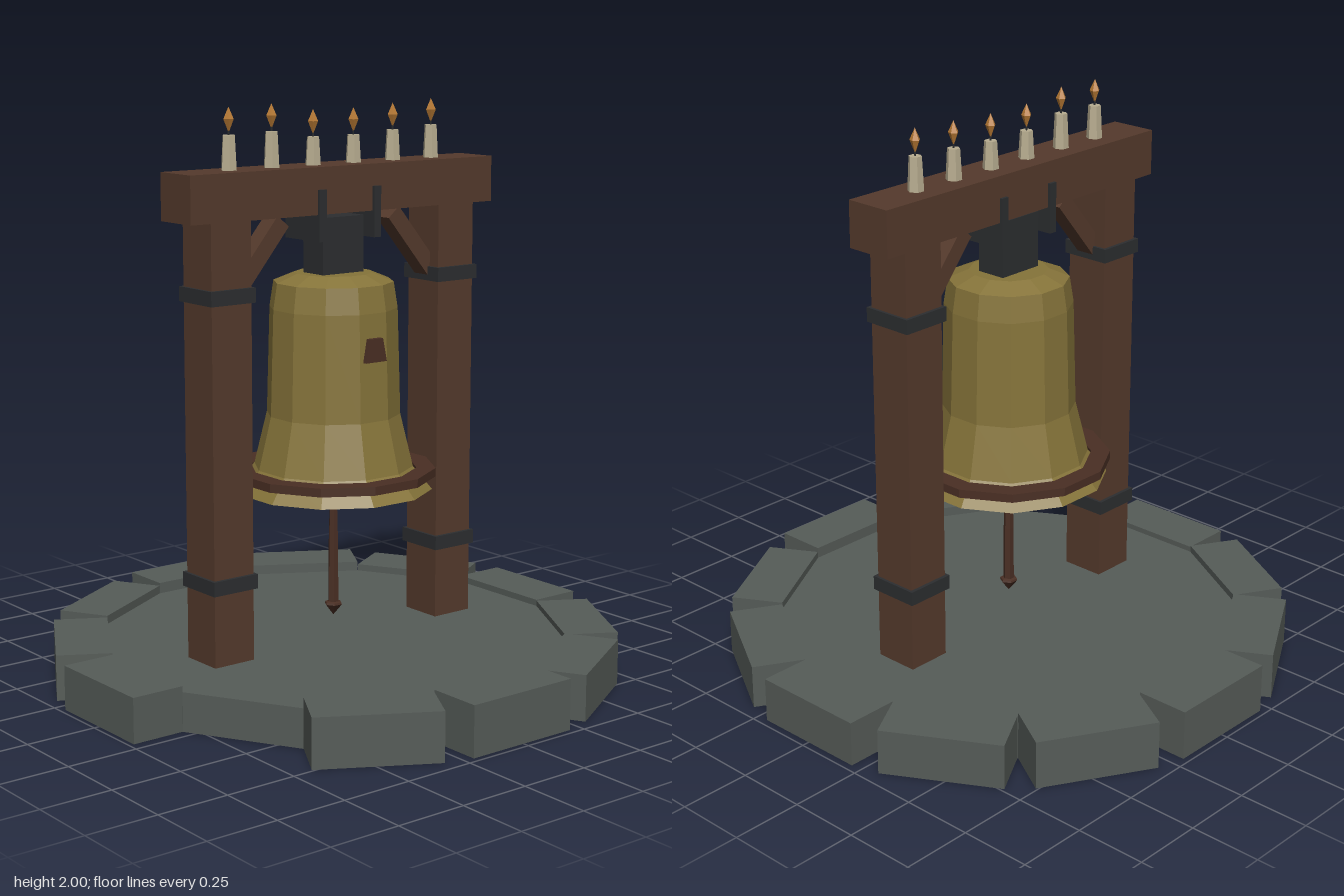
import * as THREE from 'three';

const mat = (name, color, extra = {}) => {
  const m = new THREE.MeshStandardMaterial({ color, ...extra });
  m.name = name;
  return m;
};

export function createModel() {
  const wood = mat('oak timber', 0x553a2c);
  const darkWood = mat('dark wood', 0x4a2f24);
  const iron = mat('black iron', 0x2c2e30);
  const bronze = mat('aged bronze', 0x86743a, { side: THREE.DoubleSide });
  const stone = mat('grey stone', 0x565c58, { side: THREE.DoubleSide });
  const wax = mat('candle wax', 0xb8ad90);
  const fire = mat('flame orange', 0xb87a34);

  const model = new THREE.Group();
  model.name = 'bellFrame';

  const add = (name, geometry, material, x = 0, y = 0, z = 0, parent = model) => {
    const mesh = new THREE.Mesh(geometry, material);
    mesh.name = name;
    mesh.position.set(x, y, z);
    parent.add(mesh);
    return mesh;
  };
  const box = (name, w, h, d, material, x, y, z) =>
    add(name, new THREE.BoxGeometry(w, h, d), material, x, y, z);

  // Faceted turned shape; profile runs bottom to top, a flat side faces the front
  const turned = (profile, sides) => {
    const pts = profile.map(([r, y]) => new THREE.Vector2(r, y));
    const g = new THREE.LatheGeometry(pts, sides, Math.PI / sides).toNonIndexed();
    g.computeVertexNormals();
    return g;
  };

  // Hollow twelve-sided platform, open underneath
  add('platform', turned([[0.817, 0], [0.817, 0.135], [0, 0.135]], 12), stone);

  // Ring of rim stones, clockwise from the back, with one missing (height 0)
  const heights = [0.175, 0.17, 0.16, 0.158, 0.155, 0.16, 0.175, 0.17, 0, 0.155, 0.16, 0.165];
  heights.forEach((h, i) => {
    if (!h) return;
    const a = (i * Math.PI) / 6;
    const block = box('rimStone', 0.42, h, 0.19, stone, 0.883 * Math.sin(a), h / 2, -0.883 * Math.cos(a));
    block.rotation.y = -a;
  });

  // Timber frame with iron bands and corner braces
  box('crossBeam', 1.295, 0.16, 0.17, wood, 0, 1.71, 0);
  for (const s of [-1, 1]) {
    box('post', 0.16, 1.63, 0.16, wood, s * 0.486, 0.815, 0);
    for (const y of [0.412, 1.385]) box('postBand', 0.18, 0.05, 0.185, iron, s * 0.486, y, 0);
    const brace = box('brace', 0.06, 0.32, 0.07, wood, s * 0.343, 1.49, 0);
    brace.rotation.z = -s * -0.7;
    box('beamStrap', 0.03, 0.175, 0.19, iron, s * 0.118, 1.627, 0);
  }

  // Bell, its hanger and hoop
  box('bellHanger', 0.175, 0.195, 0.11, iron, 0, 1.517, 0);
  add('bell', turned([
    [0.345, 0.665], [0.278, 0.745], [0.233, 0.93], [0.222, 1.3], [0.208, 1.39], [0.135, 1.42], [0, 1.42],
  ], 12), bronze);
  add('bellHoop', turned([
    [0.29, 0.71], [0.357, 0.71], [0.357, 0.74], [0.29, 0.74], [0.29, 0.71],
  ], 12), darkWood);

  // Tapered plaque on the front of the bell
  const plaque = new THREE.Shape([[-0.045, -0.04], [0.045, -0.04], [0.028, 0.04], [-0.028, 0.04]]
    .map(([x, y]) => new THREE.Vector2(x, y)));
  add('plaque', new THREE.ExtrudeGeometry(plaque, { depth: 0.025, bevelEnabled: false }), darkWood, 0, 1.177, 0.21);

  // Clapper inside the bell, with a pull rod below
  add('clapper', turned([
    [0, 0.64], [0.045, 0.69], [0.03, 0.73], [0.016, 0.74], [0.016, 1.41], [0, 1.41],
  ], 6), iron);
  add('pullRod', turned([
    [0, 0.2], [0.032, 0.24], [0.03, 0.247], [0.019, 0.25], [0.018, 0.45], [0.013, 0.645], [0, 0.645],
  ], 6), darkWood);

  // Candles along the beam
  [0.115, 0.12, 0.095, 0.095, 0.105, 0.115].forEach((h, i) => {
    const candle = new THREE.Group();
    candle.name = 'candle';
    candle.position.set((i - 2.5) * 0.174, 1.79, 0);
    model.add(candle);
    add('candleStick', turned([[0.028, 0], [0.022, h], [0, h]], 6), wax, 0, 0, 0, candle);
    add('wick', turned([[0.003, 0], [0.003, 0.02], [0, 0.02]], 4), iron, 0, h, 0, candle);
    add('flame', turned([[0, 0], [0.018, 0.045], [0, 0.085]], 5), fire, 0, h + 0.007, 0, candle);
  });

  model.position.x = -0.004;
  const root = new THREE.Group();
  root.name = 'candleBell';
  root.add(model);
  return root;
}
